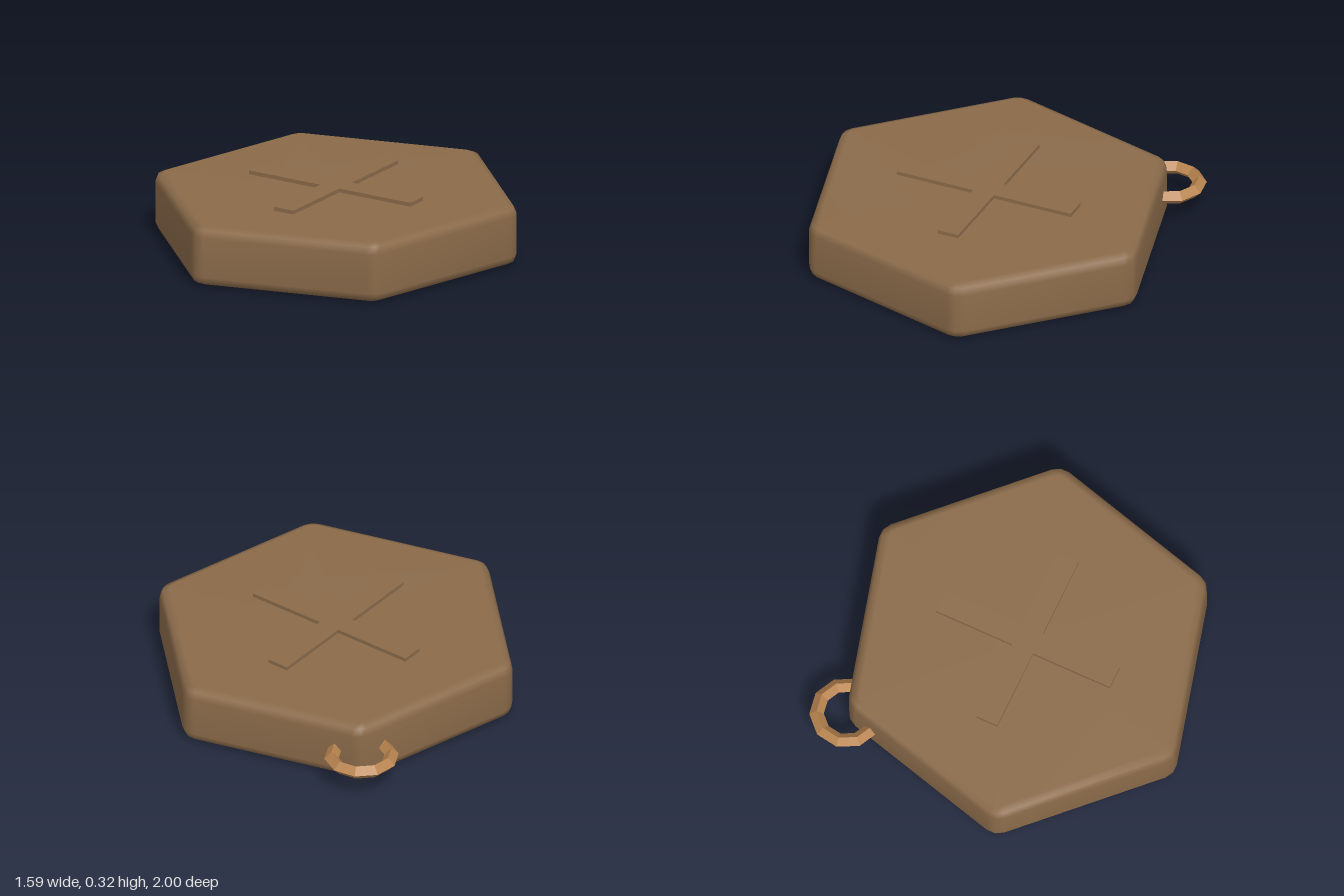
import * as THREE from 'three';

const CENTRE_Z = 0.094;

// Bevelled hexagonal slab built from stacked rounded-hexagon loops
function hexSlab(apothem, height, bevel, cornerRadius) {
  const positions = [], index = [];
  const count = 18;
  const rows = [];
  const angles = [0, Math.PI / 4, Math.PI / 2];
  for (const t of [...angles].reverse()) {
    rows.push([bevel * (1 - Math.cos(t)), bevel * (1 - Math.sin(t))]);
  }
  for (const t of angles) {
    rows.push([bevel * (1 - Math.cos(t)), height - bevel * (1 - Math.sin(t))]);
  }
  const core = (apothem - cornerRadius) / Math.cos(Math.PI / 6);
  for (const [inset, y] of rows) {
    const r = cornerRadius - inset;
    for (let k = 0; k < 6; k++) {
      const a = Math.PI / 6 + (k * Math.PI) / 3;
      for (let j = -1; j <= 1; j++) {
        const b = a + (j * Math.PI) / 6;
        positions.push(core * Math.cos(a) + r * Math.cos(b), y, core * Math.sin(a) + r * Math.sin(b));
      }
    }
  }
  const bottom = rows.length * count, top = bottom + 1;
  positions.push(0, 0, 0, 0, height, 0);
  const last = (rows.length - 1) * count;
  for (let i = 0; i < count; i++) {
    const n = (i + 1) % count;
    for (let row = 0; row < rows.length - 1; row++) {
      const lo = row * count, hi = lo + count;
      index.push(lo + n, lo + i, hi + i, lo + n, hi + i, hi + n);
    }
    index.push(bottom, i, n, top, last + n, last + i);
  }
  const geometry = new THREE.BufferGeometry();
  geometry.setAttribute('position', new THREE.Float32BufferAttribute(positions, 3));
  geometry.setIndex(index);
  geometry.computeVertexNormals();
  return geometry;
}

// Plus-shaped plate lying flat, turned into a diagonal cross
function crossPlate(halfLength, halfWidth, depth) {
  const l = halfLength, w = halfWidth;
  const corners = [];
  for (let k = 0; k < 4; k++) {
    const c = Math.round(Math.cos((k * Math.PI) / 2)), s = Math.round(Math.sin((k * Math.PI) / 2));
    for (const [x, y] of [[l, -w], [l, w], [w, w]]) {
      corners.push(new THREE.Vector2(x * c - y * s, x * s + y * c));
    }
  }
  const geometry = new THREE.ExtrudeGeometry(new THREE.Shape(corners), { depth, bevelEnabled: false });
  geometry.rotateX(-Math.PI / 2);
  geometry.rotateY(Math.PI / 4);
  return geometry;
}

export function createModel() {
  const brown = new THREE.MeshStandardMaterial({ color: 0x8b6b4a });
  brown.name = 'brown';
  const copper = new THREE.MeshStandardMaterial({ color: 0xb8844f });
  copper.name = 'copper';
  copper.flatShading = true;

  const group = new THREE.Group();
  group.name = 'hexagonPendant';
  const add = (name, geometry, material, x, y, z) => {
    const mesh = new THREE.Mesh(geometry, material);
    mesh.name = name;
    mesh.position.set(x, y, z);
    group.add(mesh);
  };

  // Slab, raised cross and hanging ring
  add('body', hexSlab(0.797, 0.297, 0.05, 0.087), brown, 0, 0, CENTRE_Z);
  add('raisedCross', crossPlate(0.46, 0.055, 0.03), brown, 0, 0.286, 0.092);
  const ring = new THREE.TorusGeometry(0.145, 0.035, 4, 10);
  ring.rotateX(Math.PI / 2);
  add('hangingRing', ring, copper, 0, 0.15, -0.829);

  return group;
}
